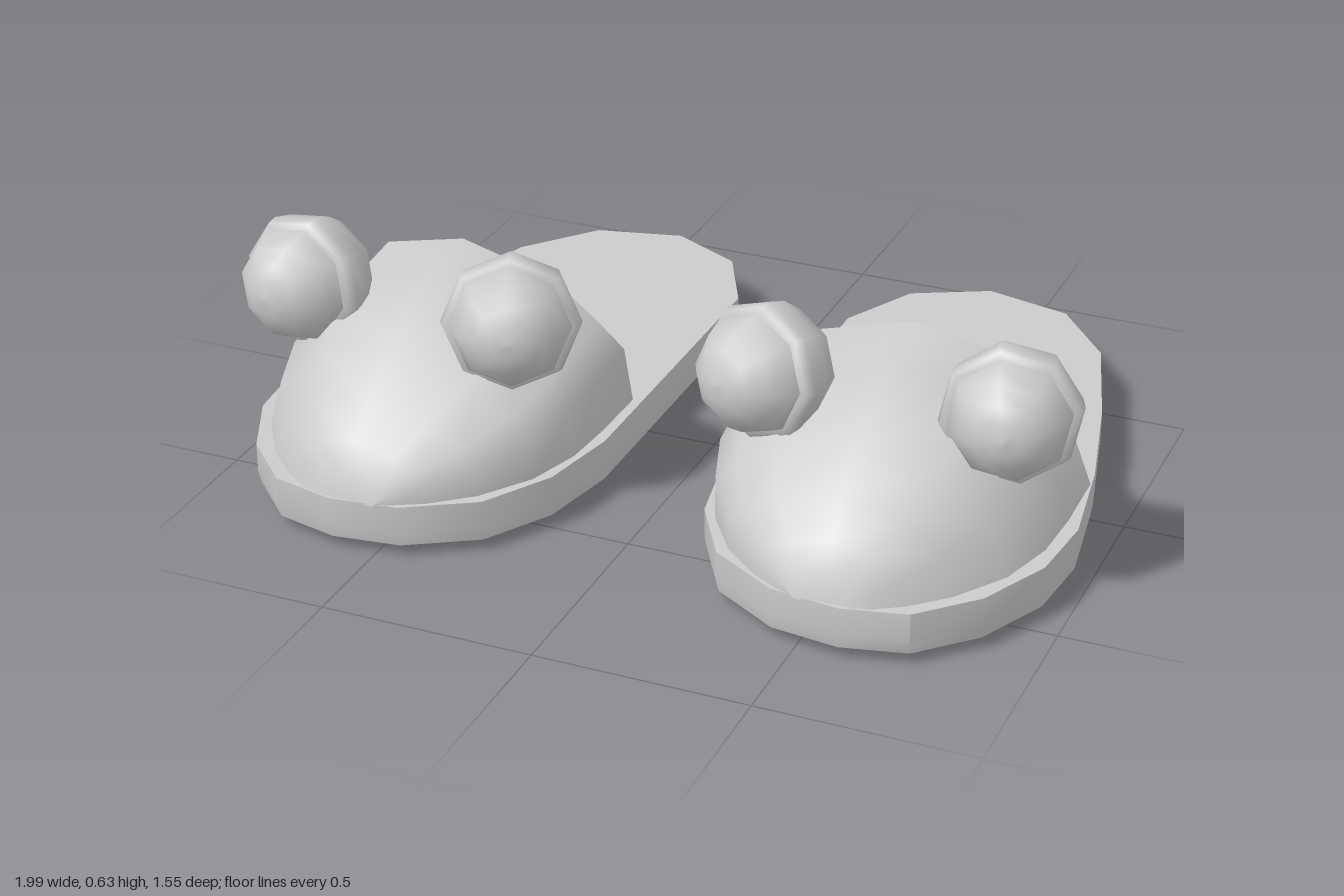
import * as THREE from 'three';
import { toCreasedNormals } from 'three/addons/utils/BufferGeometryUtils.js';

const material = new THREE.MeshStandardMaterial({ color: 0xcccccc });
const shellMaterial = new THREE.MeshStandardMaterial({ color: 0xcccccc, side: THREE.DoubleSide });

// Surface through rows of points; closed joins the end of each row to its start
function loft(rows, { closed = false, flip = false } = {}) {
  const n = rows[0].length, index = [];
  for (let r = 0; r < rows.length - 1; r++) {
    for (let i = 0; i < (closed ? n : n - 1); i++) {
      const j = (i + 1) % n;
      const a = r * n + i, b = r * n + j, c = a + n, d = b + n;
      if (flip) index.push(a, b, c, b, d, c);
      else index.push(a, c, b, b, c, d);
    }
  }
  const geometry = new THREE.BufferGeometry();
  geometry.setAttribute('position', new THREE.Float32BufferAttribute(rows.flat(2), 3));
  geometry.setIndex(index);
  geometry.computeVertexNormals();
  return geometry;
}

function part(name, geometry, mat = material) {
  const mesh = new THREE.Mesh(geometry, mat);
  mesh.name = name;
  return mesh;
}

// Sole outline of the left slipper as x, z
const outline = [
  [0.42, -0.78], [0.63, -0.73], [0.77, -0.56], [0.86, -0.27], [0.93, 0.02], [0.968, 0.27],
  [0.95, 0.45], [0.87, 0.62], [0.75, 0.74], [0.6, 0.775], [0.44, 0.755], [0.28, 0.66],
  [0.185, 0.5], [0.145, 0.3], [0.145, -0.5], [0.24, -0.69],
];

function makeSole() {
  const cx = 0.55, cz = 0;
  const ring = (y, sx, sz) => outline.map(([x, z]) => [cx + (x - cx) * sx, y, cz + (z - cz) * sz]);
  const rows = [
    ring(0, 0, 0), ring(0.005, 0.82, 0.92), ring(0.03, 0.99, 0.99),
    ring(0.06, 1, 1), ring(0.13, 1, 1), ring(0.13, 0, 0),
  ];
  return part('sole', toCreasedNormals(loft(rows, { closed: true }), 0.55));
}

// Upper: z, inner edge x, outer edge x, height above the sole
const stations = [
  [0.065, 0.168, 0.935, 0.388], [0.24, 0.17, 0.938, 0.365], [0.38, 0.18, 0.93, 0.33],
  [0.52, 0.22, 0.89, 0.27], [0.64, 0.3, 0.81, 0.195], [0.715, 0.39, 0.73, 0.125],
  [0.752, 0.46, 0.67, 0.06], [0.765, 0.5, 0.64, 0],
];
// Arch across the foot: fraction of width, fraction of height
const arch = [
  [0, 0], [0.004, 0.4], [0.075, 0.56], [0.21, 0.83], [0.5, 1], [0.77, 0.86], [0.94, 0.48], [1, 0],
];

function upperRows(inset) {
  return stations.map(([z, x0, x1, h], k) => {
    const t = k / (stations.length - 1);
    const mid = (x0 + x1) / 2;
    const half = Math.max(0.005, (x1 - x0) / 2 - inset);
    const height = Math.max(0, h - inset);
    return arch.map(([s, v]) => {
      const lean = Math.max(0, 1 - 2 * t) * (0.26 * height * v + 0.025 * (1 - s));
      return [mid + (2 * s - 1) * half, 0.125 + height * v, z - inset * t + lean];
    });
  });
}

function makeUpper() {
  const group = new THREE.Group();
  group.name = 'upper';
  const outer = upperRows(0), inner = upperRows(0.085);
  group.add(part('upperOutside', loft(outer), shellMaterial));
  group.add(part('upperLining', loft(inner, { flip: true }), shellMaterial));
  group.add(part('openingRim', toCreasedNormals(loft([inner[0], outer[0]]), 0.6), shellMaterial));
  return group;
}

// Eye: faceted cup behind, overhanging a smaller ball in front
function makeEye(name, position, facing) {
  const profile = (points) => points.map(([r, y]) => new THREE.Vector2(r, y));
  const cup = new THREE.LatheGeometry(profile([
    [0, -0.15], [0.07, -0.137], [0.118, -0.1], [0.148, -0.05], [0.158, 0], [0.152, 0.025], [0.125, 0.03],
  ]), 8);
  const ball = new THREE.LatheGeometry(profile([
    [0.138, 0.01], [0.134, 0.05], [0.11, 0.096], [0.075, 0.128], [0.038, 0.145], [0, 0.15],
  ]), 8);
  const group = new THREE.Group();
  group.name = name;
  group.add(part('eyeCup', cup), part('eyeBall', ball));
  for (const mesh of group.children) mesh.rotation.y = Math.PI / 8;
  group.position.set(...position);
  group.quaternion.setFromUnitVectors(new THREE.Vector3(0, 1, 0), new THREE.Vector3(...facing).normalize());
  return group;
}

function makeSlipper(name) {
  const group = new THREE.Group();
  group.name = name;
  group.add(
    makeSole(),
    makeUpper(),
    makeEye('innerEye', [0.3, 0.472, 0.447], [-0.38, 0.1, 0.92]),
    makeEye('outerEye', [0.844, 0.453, 0.398], [0.2, 0.05, 0.97]),
  );
  return group;
}

export function createModel() {
  const model = new THREE.Group();
  model.name = 'slippers';
  const right = makeSlipper('rightSlipper');
  right.scale.x = -1;
  model.add(makeSlipper('leftSlipper'), right);
  return model;
}
